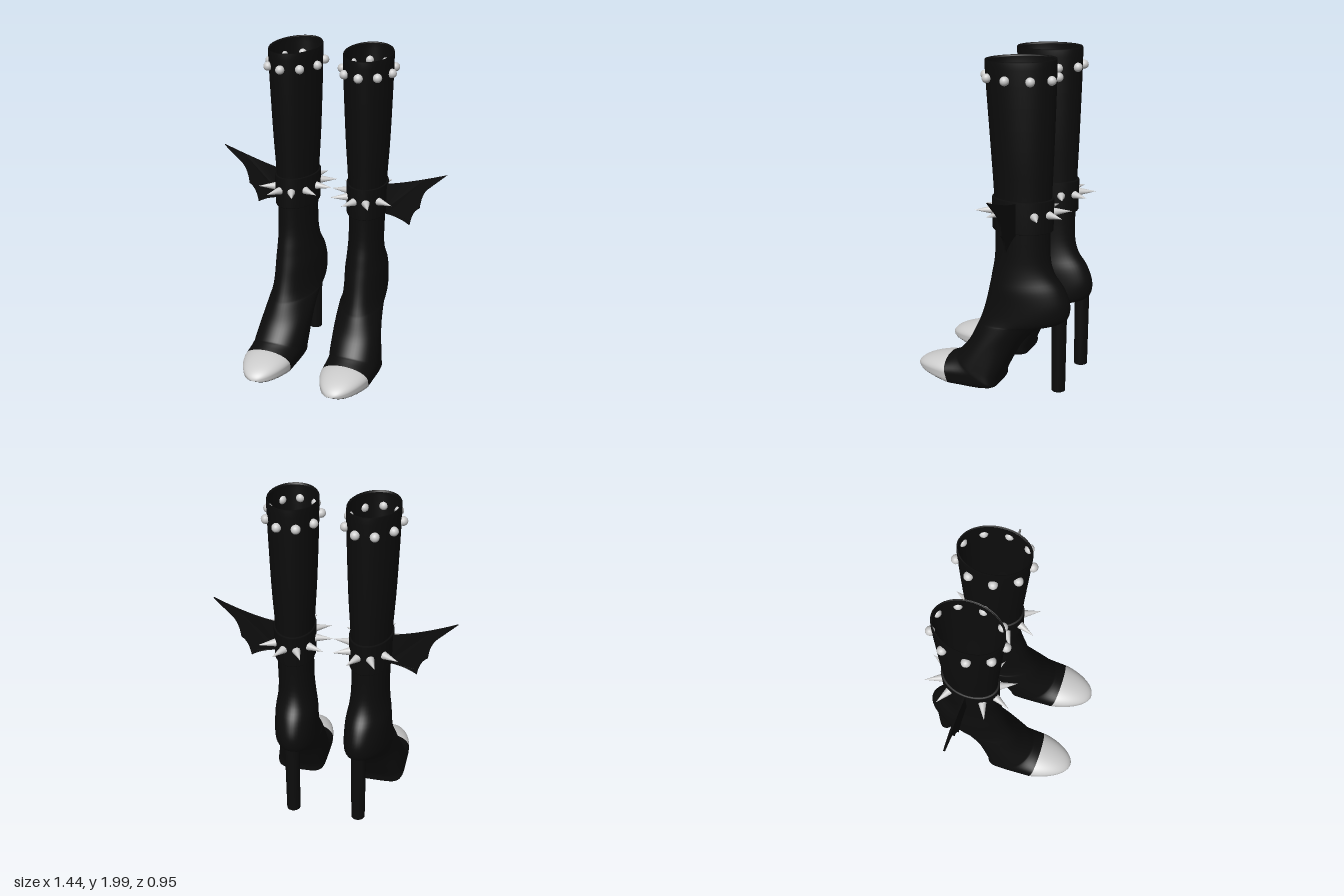
import * as THREE from 'three';

const black = new THREE.MeshStandardMaterial({ color: 0x0c0c0c, side: THREE.DoubleSide });
const grey = new THREE.MeshStandardMaterial({ color: 0xcccccc, side: THREE.DoubleSide });
const SEG = 48;
const { clamp, smoothstep } = THREE.MathUtils;

// Section of the boot: front y, front z, back y, back z, half width.
// The boot leans sideways and its underside gets squarer towards the ground.
function section(ya, za, yb, zb, w) {
  const low = 1 - clamp(yb / .44, 0, 1);
  return {
    front: new THREE.Vector3(.24 + .02 * (1 - clamp(ya / .6, 0, 1)), ya, za),
    back: new THREE.Vector3(.2 + .015 * smoothstep(yb, .5, 1) + .058 * low, yb, zb),
    w, n: 2 + 3 * low * low,
  };
}

// Shaft, ankle and arch, from the top edge down to the toe cap seam
const UPPER = [
  [1.98, .025, 2, -.368, .137],
  [1.95, .033, 1.96, -.376, .146],
  [1.5, 0, 1.5, -.365, .132],
  [1.2, -.02, 1.2, -.355, .115],
  [.88, -.026, .88, -.348, .107],
  [.73, -.005, .75, -.373, .113],
  [.63, .015, .66, -.435, .126],
  [.54, .035, .56, -.472, .13],
  [.47, .055, .475, -.458, .133],
  [.42, .073, .44, -.4, .136],
  [.385, .088, .435, -.34, .139],
  [.285, .137, .3, -.19, .148],
  [.205, .2, .09, -.075, .156],
  [.187, .225, .022, -.04, .156],
  [.165, .268, .012, .225, .15],
];

// Toe section: tapers to the tip as s goes from 0 to 1
function toeSection(s) {
  const taper = Math.sqrt(Math.max(0, 1 - s ** 1.4));
  return section(.066 + .099 * taper, .268 + .212 * s,
    .012 + .035 * s + .019 * s ** 8, .225 + .255 * s, .15 * taper);
}

// Point on a section outline; t = 90 degrees is the front
function outline({ front, back, w, n }, t) {
  const c = Math.cos(t), s = Math.sin(t);
  const p = s < 0 ? 2 / n : 1;
  const u = Math.sign(s) * Math.abs(s) ** p;
  const point = back.clone().lerp(front, .5 + u / 2);
  point.x += Math.sign(c) * Math.abs(c) ** p * w;
  return point;
}

// Smooth a list of section rows
function refine(rows, steps) {
  const curve = f => new THREE.CatmullRomCurve3(
    rows.map(r => new THREE.Vector3(...f(r))), false, 'catmullrom', 0.5);
  const front = curve(r => [r[0], r[1], r[4]]);
  const back = curve(r => [r[2], r[3], 0]);
  const count = (rows.length - 1) * steps;
  return Array.from({ length: count + 1 }, (_, i) => {
    const a = front.getPoint(i / count), b = back.getPoint(i / count);
    return section(a.x, a.y, b.x, b.y, a.z);
  });
}

function mesh(name, geometry, material) {
  const m = new THREE.Mesh(geometry, material);
  m.name = name;
  return m;
}

// Skin over the sections, from outline step j0 to j1
function loft(name, sections, material, j0 = 0, j1 = SEG) {
  const closed = j1 - j0 === SEG, row = j1 - j0 + (closed ? 0 : 1);
  const pos = [], index = [];
  sections.forEach((s, i) => {
    for (let j = 0; j < row; j++) {
      pos.push(...outline(s, (j0 + j) / SEG * Math.PI * 2).toArray());
      if (i === sections.length - 1 || (!closed && j === row - 1)) continue;
      const a = i * row + j, b = i * row + (j + 1) % row;
      index.push(a, b, a + row, b, b + row, a + row);
    }
  });
  const g = new THREE.BufferGeometry();
  g.setAttribute('position', new THREE.Float32BufferAttribute(pos, 3));
  g.setIndex(index);
  g.computeVertexNormals();
  return mesh(name, g, material);
}

// Place a y-pointing part on a section, pointing outwards
function mount(part, sec, t, offset) {
  const d = outline(sec, t + .01).sub(outline(sec, t - .01));
  const normal = new THREE.Vector3(d.z, 0, -d.x).normalize();
  part.position.copy(outline(sec, t)).addScaledVector(normal, offset);
  part.quaternion.setFromUnitVectors(new THREE.Vector3(0, 1, 0), normal);
  return part;
}

function createBoot() {
  const boot = new THREE.Group();

  // Upper, toe cap and sole tip
  boot.add(loft('upper', refine(UPPER, 4), black));
  const toe = Array.from({ length: 25 }, (_, i) => toeSection(Math.sin(i / 24 * Math.PI / 2)));
  boot.add(loft('toeCap', toe, grey, -4, 28));
  boot.add(loft('toeSole', toe, black, 28, 44));

  // Heel post
  const heel = mesh('heel', new THREE.CylinderGeometry(.045, .041, .5, 24), black);
  heel.position.set(.203, .265, -.41);
  boot.add(heel);

  // Ankle cuff with closed edges
  const cuff = (y, grow) => section(y, -.02 + grow, y, -.356 - grow, .112 + grow);
  boot.add(loft('cuff', [cuff(1.205, -.012), cuff(1.205, .01), cuff(1.2, .013),
    cuff(1.015, .01), cuff(1.01, .007), cuff(1.01, -.014)], black));

  // Spikes around the cuff, leaving a gap for the wing
  const spikeGeo = new THREE.ConeGeometry(.026, .115, 16);
  for (let i = 1; i < 10; i++) {
    const t = i / 10 * Math.PI * 2;
    boot.add(mount(mesh('spike', spikeGeo, grey), cuff(1.12, .01), t, .048));
  }

  // Round studs below the top edge
  const studGeo = new THREE.SphereGeometry(.027, 16, 12);
  const collar = section(1.895, .031, 1.895, -.375, .146);
  for (let i = 0; i < 9; i++) {
    const t = Math.PI / 2 + i / 9 * Math.PI * 2;
    boot.add(mount(mesh('stud', studGeo, grey), collar, t, .008));
  }

  // Scalloped wing, slightly bowed
  const shape = new THREE.Shape();
  shape.moveTo(.32, 1.19);
  shape.quadraticCurveTo(.48, 1.215, .72, 1.307);
  shape.lineTo(.6, 1.195);
  shape.quadraticCurveTo(.565, 1.15, .558, 1.07);
  shape.quadraticCurveTo(.512, 1.045, .498, .952);
  shape.quadraticCurveTo(.43, 1, .32, 1.008);
  const wingGeo = new THREE.ExtrudeGeometry(shape, { depth: .012, bevelEnabled: false, curveSegments: 10 });
  const p = wingGeo.attributes.position;
  for (let i = 0; i < p.count; i++) {
    const k = (p.getX(i) - .32) / .4;
    p.setZ(i, p.getZ(i) - .19 - .03 * k * (1 - k) + .006 * k);
  }
  wingGeo.computeVertexNormals();
  boot.add(mesh('wing', wingGeo, black));
  return boot;
}

export function createModel() {
  const model = new THREE.Group();
  model.name = 'boots';
  const left = createBoot(), right = createBoot();
  left.name = 'leftBoot';
  right.name = 'rightBoot';
  right.scale.x = -1;
  model.add(left, right);
  return model;
}
